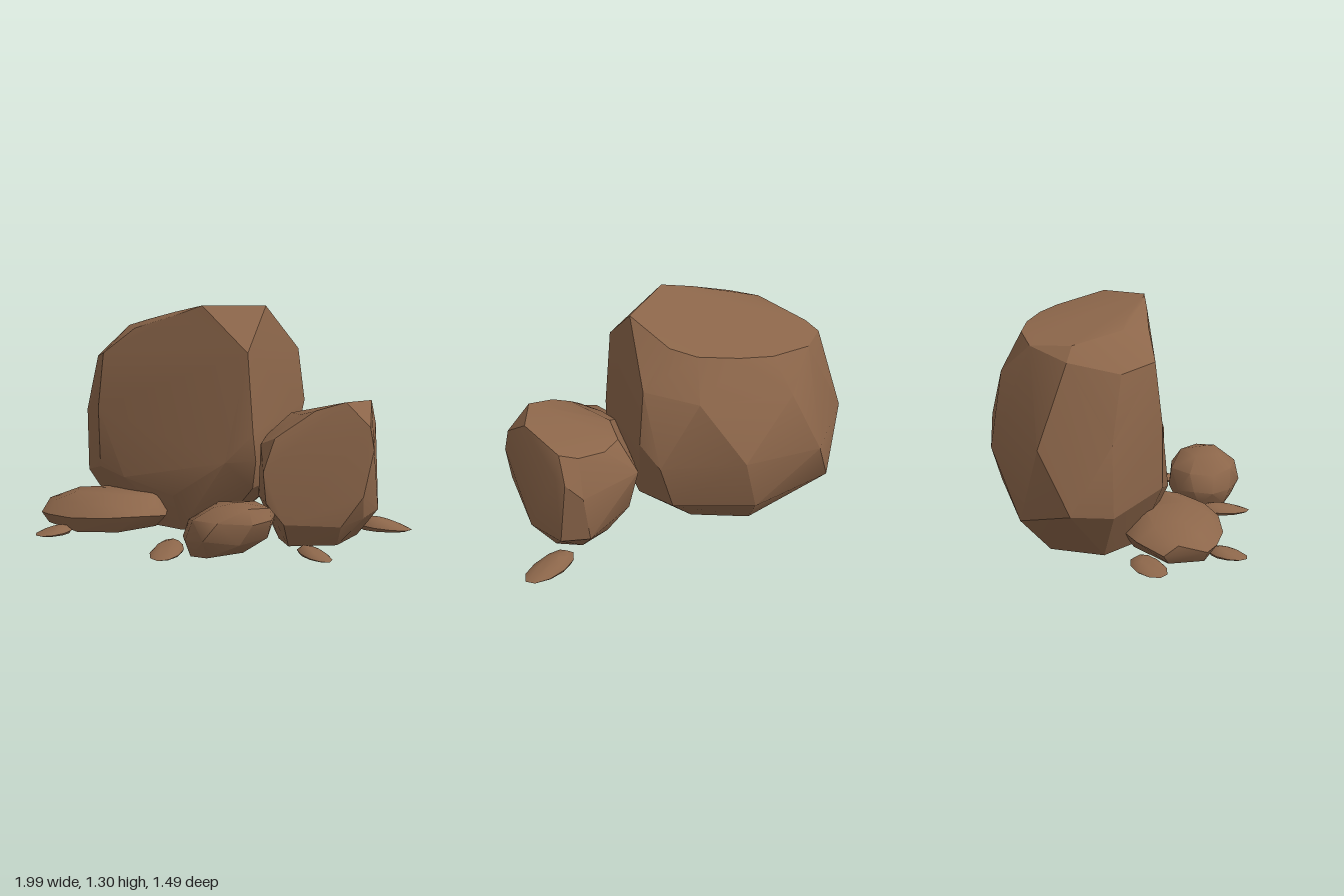
import * as THREE from 'three';
import { ConvexGeometry } from 'three/addons/geometries/ConvexGeometry.js';
import { toCreasedNormals } from 'three/addons/utils/BufferGeometryUtils.js';

const rockBrown = new THREE.MeshStandardMaterial({ color: 0x8c664a });
rockBrown.name = 'rockBrown';

// Faceted stone: hull around a few corner points, soft on edges below the crease angle
function stone(name, corners, crease) {
  const points = corners.map(([x, y, z]) => new THREE.Vector3(x, y, z));
  const mesh = new THREE.Mesh(toCreasedNormals(new ConvexGeometry(points), crease), rockBrown);
  mesh.name = name;
  return mesh;
}

// Small flat pebble: oval rings, lower towards its outer tip
function pebble(name, x, z, length, width, height, turn) {
  const corners = [];
  for (const [level, size] of [[0, 0.88], [0.3, 1], [0.75, 0.75], [1, 0.4]]) {
    for (let i = 0; i < 10; i++) {
      const a = (i / 10) * Math.PI * 2;
      const along = Math.cos(a) * size;
      corners.push([along * length / 2, level * height * (0.8 + 0.5 * along), Math.sin(a) * size * width / 2]);
    }
  }
  const mesh = stone(name, corners, 0.7);
  mesh.position.set(x, 0, z);
  mesh.rotation.y = turn;
  return mesh;
}

export function createModel() {
  const group = new THREE.Group();
  group.name = 'rockPile';

  group.add(stone('largeBoulder', [
    // sloping top
    [0.04, 1.3, 0.09], [0.28, 1.295, -0.19], [0.13, 1.22, -0.44], [0, 1.19, -0.51],
    [-0.22, 1.16, -0.53], [-0.41, 1.13, -0.51], [-0.65, 1.09, -0.4], [-0.72, 1.105, -0.16],
    [-0.52, 1.165, 0.07], [-0.38, 1.205, 0.06], [-0.14, 1.26, 0.1],
    // shoulders
    [0.34, 1.05, 0.07], [0.29, 1.03, -0.52], [0.02, 0.98, -0.64], [-0.5, 0.93, -0.6],
    [-0.8, 1.03, -0.17], [-0.75, 0.97, 0.1], [-0.57, 1.01, 0.245], [-0.38, 1.16, 0.18], [-0.12, 1.24, 0.13],
    // waist
    [0.38, 0.6, 0.07], [0.32, 0.72, -0.55], [0.23, 0.6, -0.635], [-0.21, 0.63, -0.745],
    [-0.68, 0.55, -0.61], [-0.91, 0.6, -0.3], [-0.87, 0.63, 0.075], [-0.58, 0.69, 0.285],
    // lower sides
    [0.385, 0.45, 0.05], [0.33, 0.28, 0], [0.25, 0.44, 0.155], [-0.07, 0.22, 0.22],
    [-0.38, 0.3, 0.29], [-0.57, 0.34, 0.285], [-0.86, 0.25, 0.08], [-0.97, 0.28, -0.12],
    [-0.82, 0.2, -0.42], [-0.3, 0.27, -0.67], [0.15, 0.3, -0.59], [0.3, 0.3, -0.42],
    // base
    [0.08, 0, -0.03], [-0.02, 0, -0.35], [-0.34, 0, -0.45], [-0.66, 0, -0.3],
    [-0.71, 0, 0], [-0.46, 0, 0.14], [-0.08, 0, 0.13],
  ], 0.42));

  group.add(stone('mediumBoulder', [
    // sloping top
    [0.84, 0.8, -0.14], [0.89, 0.795, -0.33], [0.75, 0.74, -0.56], [0.65, 0.71, -0.57],
    [0.5, 0.68, -0.51], [0.41, 0.68, -0.42], [0.42, 0.69, -0.25], [0.6, 0.72, -0.06], [0.7, 0.75, -0.06],
    // sides
    [0.97, 0.67, -0.18], [0.995, 0.55, -0.18], [0.78, 0.62, -0.59], [0.74, 0.6, -0.64],
    [0.65, 0.5, -0.655], [0.32, 0.5, -0.5], [0.36, 0.58, -0.1], [0.41, 0.55, 0.04],
    [0.53, 0.6, 0.08], [0.5, 0.42, 0.145],
    // lower sides
    [0.97, 0.3, -0.12], [0.93, 0.16, -0.2], [0.91, 0.17, -0.4], [0.78, 0.21, -0.62],
    [0.62, 0.2, -0.63], [0.36, 0.2, -0.42], [0.37, 0.25, 0], [0.52, 0.25, 0.145], [0.62, 0.14, 0.12], [0.87, 0.13, -0.06],
    // base
    [0.8, 0, -0.14], [0.78, 0, -0.4], [0.64, 0, -0.45], [0.48, 0, -0.36], [0.47, 0, -0.06], [0.6, 0, 0.04],
  ], 0.42));

  group.add(stone('flatRock', [
    // crown
    [-0.76, 0.185, 0.27], [-0.66, 0.195, 0.4], [-0.4, 0.22, 0.4], [-0.22, 0.215, 0.33], [-0.2, 0.22, 0.2], [-0.5, 0.215, 0.18],
    [-0.74, 0.15, 0.5], [-0.47, 0.175, 0.53], [-0.28, 0.18, 0.48], [-0.14, 0.18, 0.3],
    // rim
    [-0.9, 0.08, 0.34], [-0.87, 0.13, 0.41], [-0.8, 0.08, 0.55], [-0.7, 0.09, 0.59], [-0.52, 0.1, 0.605], [-0.3, 0.12, 0.56],
    [-0.14, 0.13, 0.43], [-0.09, 0.11, 0.26], [-0.2, 0.12, 0.1], [-0.6, 0.1, 0.08], [-0.82, 0.12, 0.19],
    // base
    [-0.86, 0.03, 0.36], [-0.76, 0.02, 0.53], [-0.5, 0.01, 0.56], [-0.26, 0.03, 0.48], [-0.18, 0.03, 0.24], [-0.55, 0, 0.13],
  ], 0.8));

  group.add(stone('roundRock', [
    // crown
    [0.36, 0.28, 0.36], [0.43, 0.285, 0.5], [0.53, 0.31, 0.4], [0.62, 0.295, 0.45], [0.67, 0.285, 0.33], [0.52, 0.285, 0.25],
    // upper rim
    [0.24, 0.2, 0.34], [0.25, 0.19, 0.48], [0.35, 0.22, 0.575], [0.52, 0.23, 0.585], [0.66, 0.22, 0.47],
    [0.7, 0.23, 0.36], [0.65, 0.23, 0.25], [0.57, 0.19, 0.185], [0.37, 0.2, 0.21],
    // lower rim
    [0.2, 0.1, 0.37], [0.21, 0.09, 0.48], [0.3, 0.1, 0.575], [0.45, 0.13, 0.618], [0.6, 0.11, 0.5],
    [0.67, 0.13, 0.35], [0.58, 0.09, 0.22], [0.38, 0.09, 0.195], [0.25, 0.09, 0.27],
    // base
    [0.22, 0.02, 0.4], [0.31, 0.01, 0.54], [0.44, 0.03, 0.57], [0.55, 0.04, 0.4], [0.46, 0.02, 0.23], [0.32, 0.01, 0.25], [0.38, 0, 0.4],
  ], 0.8));

  // Pebbles scattered around the base
  group.add(pebble('leftPebble', -0.87, 0.26, 0.3, 0.17, 0.045, 0.55));
  group.add(pebble('frontLeftPebble', -0.61, 0.64, 0.22, 0.15, 0.045, 1.19));
  group.add(pebble('frontPebble', 0.16, 0.555, 0.31, 0.17, 0.06, 1.94));
  group.add(pebble('rightPebble', 0.815, 0.118, 0.27, 0.13, 0.045, Math.PI - 0.4));
  group.add(pebble('backPebble', 0.85, -0.595, 0.32, 0.16, 0.075, Math.PI + 0.45));
  return group;
}
